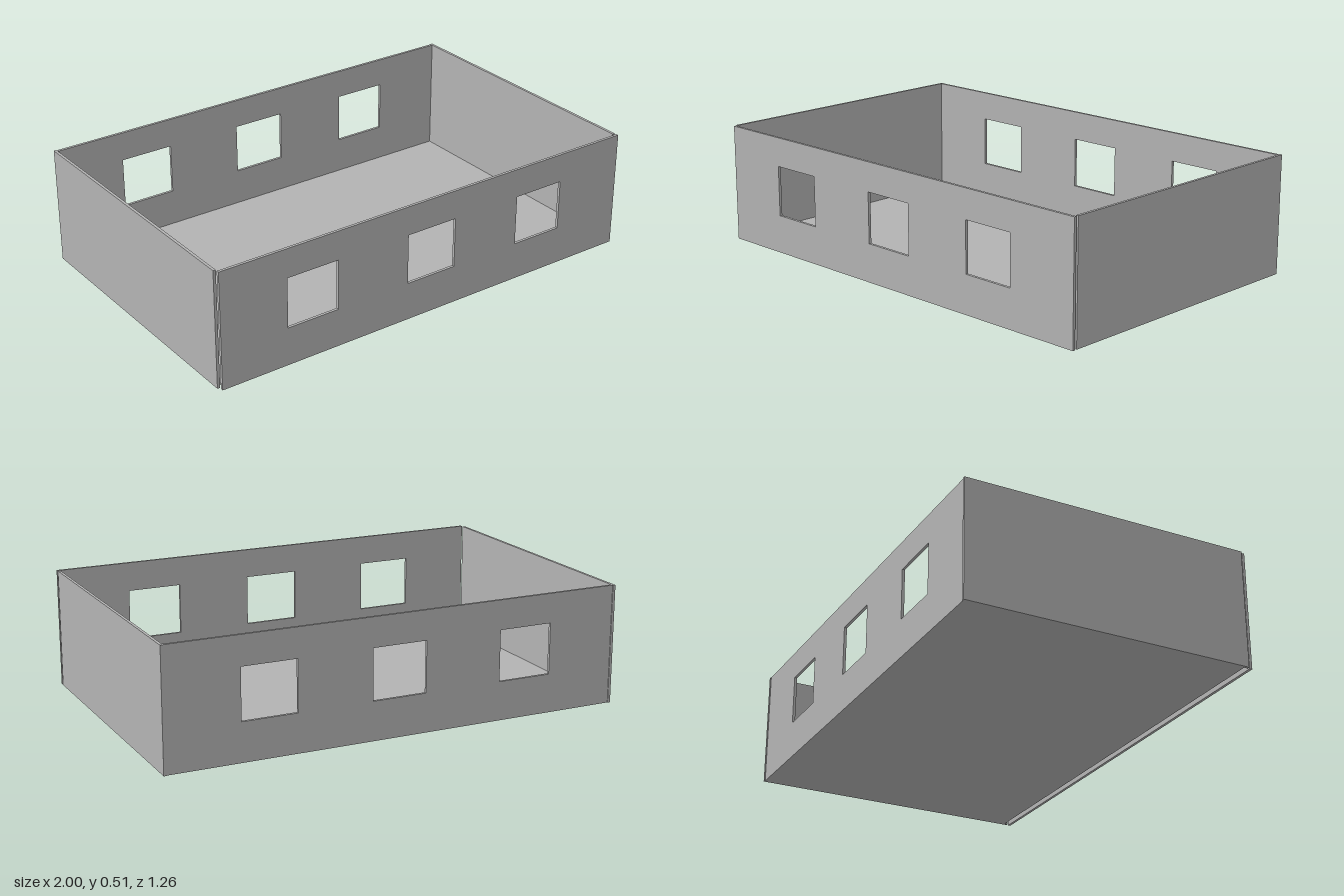
import * as THREE from 'three';

const HEIGHT = 0.51;
const THICK = 0.012;

// Upright panel with three square window openings, extruded along z
function windowWall(x0, x1, material) {
  const shape = new THREE.Shape([
    new THREE.Vector2(x0, 0), new THREE.Vector2(x1, 0),
    new THREE.Vector2(x1, HEIGHT), new THREE.Vector2(x0, HEIGHT),
  ]);
  for (const cx of [-0.572, 0.003, 0.563]) {
    const l = cx - 0.118, r = cx + 0.118, b = 0.166, t = 0.384;
    shape.holes.push(new THREE.Path([
      new THREE.Vector2(l, b), new THREE.Vector2(l, t),
      new THREE.Vector2(r, t), new THREE.Vector2(r, b),
    ]));
  }
  const geometry = new THREE.ExtrudeGeometry(shape, { depth: THICK, bevelEnabled: false });
  return new THREE.Mesh(geometry, material);
}

export function createModel() {
  const group = new THREE.Group();
  const grey = new THREE.MeshStandardMaterial({ color: 0xb3b3b3 });
  grey.name = 'plain grey';

  // Front panel stands slightly clear of the box
  const front = windowWall(-0.99, 1, grey);
  front.name = 'frontWall';
  front.position.z = 0.628 - THICK;

  const back = windowWall(-0.988, 0.988, grey);
  back.name = 'backWall';
  back.position.z = -0.625;

  // Solid side walls
  for (const side of [-1, 1]) {
    const wall = new THREE.Mesh(new THREE.BoxGeometry(THICK, HEIGHT, 1.235), grey);
    wall.name = side > 0 ? 'leftWall' : 'rightWall';
    wall.position.set(side * (1 - THICK / 2), HEIGHT / 2, -0.0105);
    group.add(wall);
  }

  // Floor stops short of the front panel
  const floor = new THREE.Mesh(new THREE.BoxGeometry(1.976, 0.008, 1.204), grey);
  floor.name = 'floor';
  floor.position.set(0, 0.004, -0.011);

  group.add(front, back, floor);
  return group;
}
